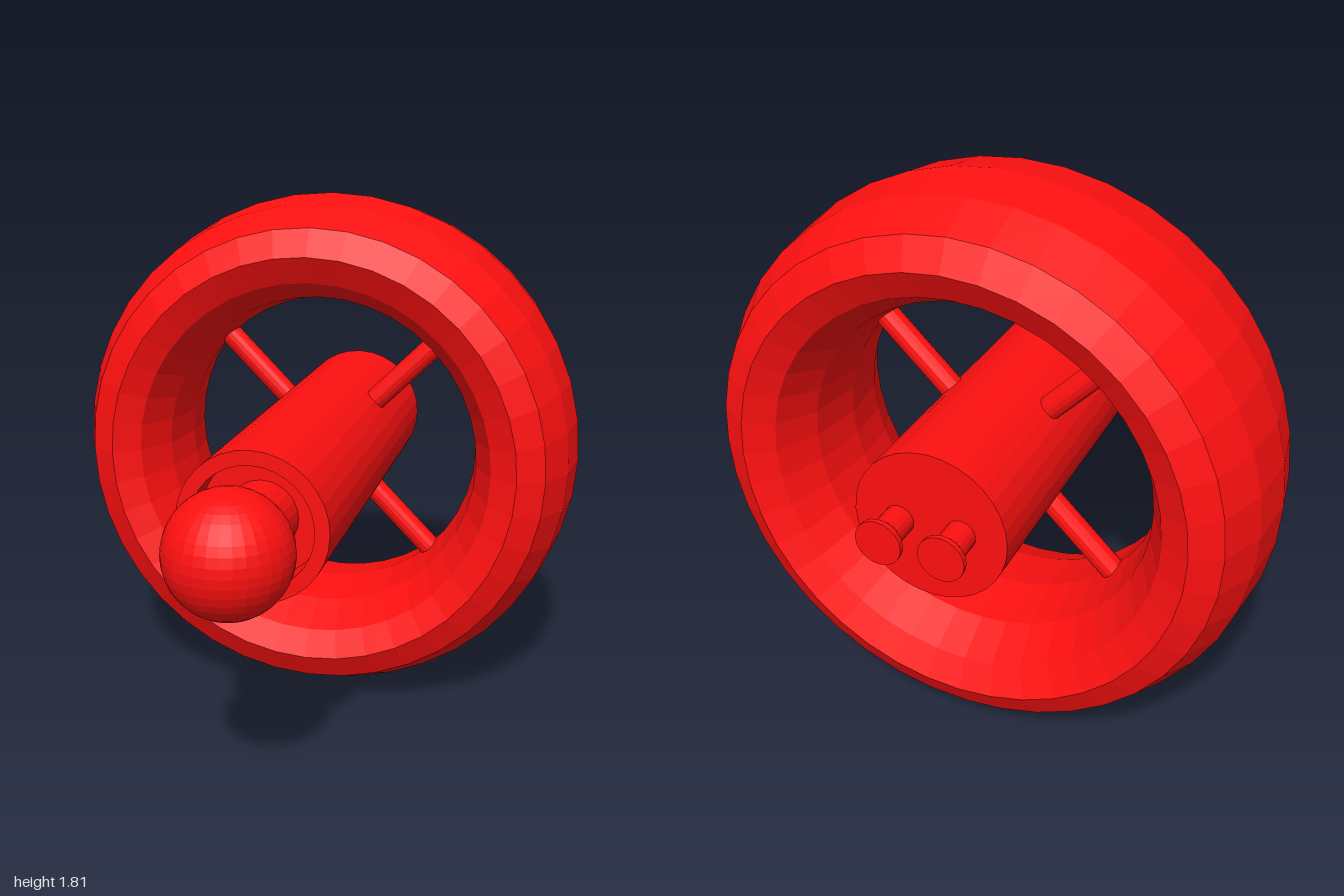
import * as THREE from 'three';

export function createModel() {
  const model = new THREE.Group();
  model.name = 'spokedWheelWithBallHub';
  const material = new THREE.MeshStandardMaterial({ color: 0xff1010, flatShading: true });

  // everything is centred on the hub axis, which runs along z
  const assembly = new THREE.Group();
  assembly.name = 'wheelAssembly';
  assembly.position.y = 0.905;
  model.add(assembly);

  function add(name, geometry, x = 0, y = 0, z = 0) {
    const mesh = new THREE.Mesh(geometry, material);
    mesh.name = name;
    mesh.position.set(x, y, z);
    assembly.add(mesh);
    return mesh;
  }

  // turned part around z: profile points are [radius, z] with z rising along the outside
  function turned(profile, segments) {
    const points = profile.map(([r, z]) => new THREE.Vector2(r, z));
    return new THREE.LatheGeometry(points, segments).rotateX(Math.PI / 2);
  }

  const wheelZ = -0.385;

  // wide tyre: a torus stretched along its axis
  add('tyre', new THREE.TorusGeometry(0.723, 0.182, 12, 40).scale(1, 1, 2), 0, 0, wheelZ);

  // hub barrel with a recessed front end
  add('hub', turned([
    [0, -0.875], [0.242, -0.875], [0.242, 0.595],
    [0.195, 0.595], [0.195, 0.48], [0, 0.48],
  ], 32));

  // neck and ball at the front
  add('neck', new THREE.CylinderGeometry(0.115, 0.115, 0.24, 24).rotateX(Math.PI / 2), 0, 0, 0.59);
  add('ball', new THREE.SphereGeometry(0.193, 32, 20), 0, 0, 0.807);

  // four diagonal spokes from hub to tyre
  for (let i = 0; i < 4; i++) {
    const angle = Math.PI / 4 + i * Math.PI / 2;
    const spoke = add('spoke', new THREE.CylinderGeometry(0.04, 0.04, 0.42, 16),
      Math.cos(angle) * 0.41, Math.sin(angle) * 0.41, wheelZ);
    spoke.rotation.z = angle - Math.PI / 2;
  }

  // pair of flared pegs at the back
  for (const side of [-1, 1]) {
    add(side > 0 ? 'leftPeg' : 'rightPeg', turned([
      [0, -1], [0.072, -1], [0.072, -0.985], [0.047, -0.957], [0.047, -0.86],
    ], 20), side * 0.098);
  }

  return model;
}
